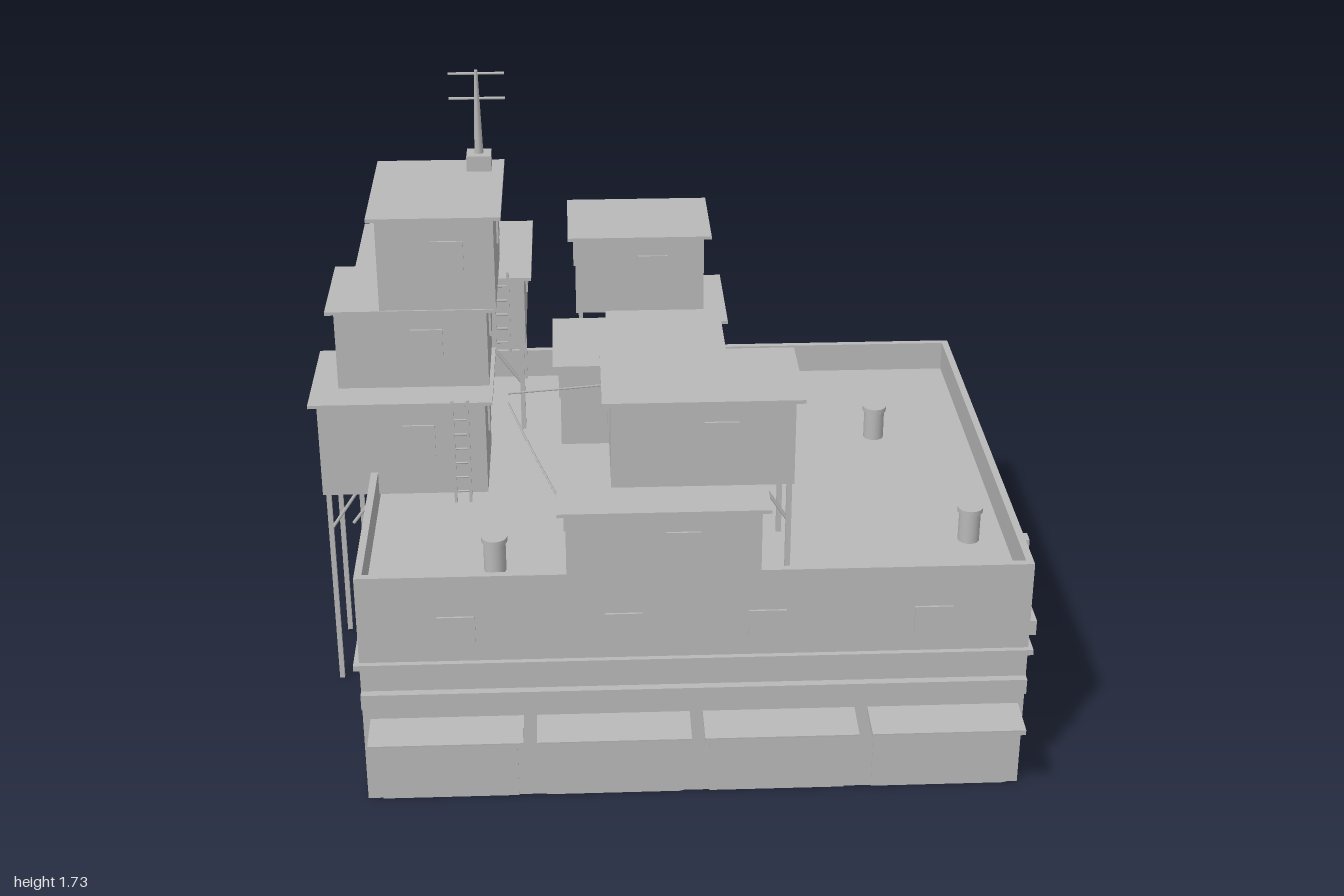
import * as THREE from 'three';

export function createModel() {
  const model = new THREE.Group();
  const grey = new THREE.MeshStandardMaterial({ color: 0xb8b8b8 });
  grey.name = 'concrete grey';

  const add = (geo, name, parent = model) => {
    const m = new THREE.Mesh(geo, grey);
    m.name = name;
    parent.add(m);
    return m;
  };
  // Box given by its limits on each axis
  const box = (name, x0, x1, y0, y1, z0, z1, parent) => {
    const m = add(new THREE.BoxGeometry(x1 - x0, y1 - y0, z1 - z0), name, parent);
    m.position.set((x0 + x1) / 2, (y0 + y1) / 2, (z0 + z1) / 2);
    return m;
  };
  // Straight rod between two points
  const rod = (name, a, b, r, parent, sides = 6, rEnd = r) => {
    const p = new THREE.Vector3(...a), q = new THREE.Vector3(...b);
    const m = add(new THREE.CylinderGeometry(rEnd, r, p.distanceTo(q), sides), name, parent);
    m.position.copy(p).add(q).multiplyScalar(0.5);
    m.quaternion.setFromUnitVectors(new THREE.Vector3(0, 1, 0), q.sub(p).normalize());
    return m;
  };

  // Main block with sunken roof deck and parapet
  const X0 = -0.84, X1 = 0.94, Z0 = -0.71, Z1 = 0.72, T = 0.02;
  box('mainBlock', X0, X1, 0, 0.6, Z0, Z1);
  box('parapetFront', X0, X1, 0.6, 0.69, Z1 - T, Z1);
  box('parapetBack', X0, X1, 0.6, 0.69, Z0, Z0 + T);
  box('parapetLeft', X1 - T, X1, 0.6, 0.69, Z0 + T, Z1 - T);
  box('parapetRight', X0, X0 + T, 0.6, 0.69, Z0 + T, Z1 - T);

  // Ledge all round, and lower bands on the front and back
  box('ledge', X0 - 0.015, X1 + 0.012, 0.418, 0.434, Z0 - 0.015, Z1 + 0.015);
  box('bandFront', X0, X1, 0.3, 0.345, Z1, Z1 + 0.022);
  box('bandBack', X0, X1, 0.3, 0.345, Z0 - 0.028, Z0);

  // Sloping awnings over the shop fronts, with shutters and dividers
  for (let i = 0; i < 4; i++) {
    const x = -0.82 + i * 0.445;
    const awning = box('awning', x, x + 0.41, 0.242, 0.254, 0.72, 0.84);
    awning.rotation.x = 0.06;
    box('awningLip', x, x + 0.41, 0.235, 0.248, 0.833, 0.84);
    box('shutter', x + 0.02, x + 0.39, 0, 0.21, Z1, Z1 + 0.004);
  }

  // Upper windows of the main block
  for (const x of [-0.58, -0.14, 0.24, 0.68]) {
    box('windowFront', x - 0.05, x + 0.05, 0.49, 0.57, Z1, Z1 + 0.006);
    box('windowBack', x - 0.05, x + 0.05, 0.49, 0.57, Z0 - 0.006, Z0);
  }
  for (const z of [0.52, 0.18, -0.17, -0.51]) {
    box('windowLeft', X1, X1 + 0.008, 0.47, 0.57, z - 0.045, z + 0.045);
    box('windowRight', X0 - 0.008, X0, 0.47, 0.57, z - 0.045, z + 0.045);
  }

  // Back doors with lamps, side duct with meter box, wall unit
  for (const x of [0.58, -0.33]) {
    box('backDoor', x - 0.065, x + 0.065, 0, 0.23, Z0 - 0.007, Z0);
    box('doorLamp', x - 0.022, x + 0.022, 0.245, 0.26, Z0 - 0.035, Z0);
  }
  box('sideDuct', X1, 0.98, 0, 0.62, 0.43, 0.47);
  box('meterBox', 0.95, 1.0, 0.365, 0.41, 0.465, 0.55);
  box('wallUnit', -0.37, -0.29, 0.365, 0.415, -0.762, Z0);

  // Roof vents
  for (const [x, z] of [[0.64, -0.22], [-0.01, 0.16], [0.82, 0.42], [-0.48, 0.53]]) {
    rod('roofVent', [x, 0.6, z], [x, 0.69, z], 0.03, model, 16);
    rod('ventCap', [x, 0.688, z], [x, 0.702, z], 0.035, model, 16);
  }

  // Stacked huts: a box, an overhanging slab roof and thin window plates
  const hut = (name, x0, x1, y0, y1, z0, z1) => {
    const g = new THREE.Group();
    g.name = name;
    model.add(g);
    box('walls', x0, x1, y0, y1, z0, z1, g);
    box('roofSlab', x0 - 0.022, x1 + 0.022, y1, y1 + 0.01, z0 - 0.025, z1 + 0.025, g);
    const a = y0 + (y1 - y0) * 0.42, b = y0 + (y1 - y0) * 0.76, d = 0.006;
    const xm = x0 + (x1 - x0) * 0.6, zm = z0 + (z1 - z0) * 0.4;
    box('frontWindow', xm - 0.045, xm + 0.045, a, b, z1, z1 + d, g);
    box('backWindow', xm - 0.045, xm + 0.045, a, b, z0 - d, z0, g);
    box('leftWindow', x1, x1 + d, a, b, zm - 0.04, zm + 0.04, g);
    box('rightWindow', x0 - d, x0, a, b, zm - 0.04, zm + 0.04, g);
  };
  hut('towerLower', -0.98, -0.51, 0.62, 0.905, -0.195, 0.125);
  hut('towerMiddle', -0.925, -0.5, 0.91, 1.15, -0.245, 0.04);
  hut('towerTop', -0.795, -0.472, 1.155, 1.43, -0.362, 0.06);
  hut('backCornerHut', -0.88, -0.402, 0.87, 1.1, -0.72, -0.305);
  hut('backHutLower', -0.138, 0.19, 0.62, 0.88, -0.785, -0.465);
  hut('backHutUpper', -0.25, 0.143, 0.885, 1.13, -0.82, -0.535);
  hut('middleHut', -0.3, 0.168, 0.6, 0.89, -0.435, -0.135);
  hut('frontHutLower', -0.288, 0.22, 0.62, 0.875, 0.38, 0.727);
  hut('frontHutUpper', -0.167, 0.312, 0.885, 1.13, 0.335, 0.612);

  // Stilts: x, z, bottom, top
  for (const [x, z, y0, y1] of [
    [-0.965, 0.11, 0, 0.62], [-0.965, -0.16, 0, 0.62], [-0.91, -0.23, 0, 0.91],
    [-0.87, -0.32, 0, 0.87], [-0.87, -0.7, 0, 0.87], [-0.415, -0.32, 0.6, 0.87],
    [-0.415, -0.68, 0.6, 0.87], [0.18, -0.77, 0, 0.62], [-0.13, -0.77, 0, 0.62],
    [-0.235, -0.805, 0, 0.885], [0.3, 0.35, 0.6, 0.885], [0.3, 0.6, 0.6, 0.885],
    [-0.485, -0.345, 1.1, 1.16],
  ]) box('stilt', x - 0.007, x + 0.007, y0, y1, z - 0.007, z + 0.007);

  // Diagonal braces
  for (const [a, b] of [
    [[-0.965, 0.5, 0.11], [-0.885, 0.62, 0.11]], [[-0.965, 0.5, -0.16], [-0.885, 0.62, -0.16]],
    [[-0.84, 0.5, 0.11], [-0.9, 0.42, 0.11]].map(([x, y, z]) => [x, y + 0.1, z]),
    [[-0.5, 0.87, -0.32], [-0.415, 0.75, -0.32]], [[-0.5, 0.87, -0.68], [-0.415, 0.75, -0.68]],
    [[0.225, 0.885, 0.35], [0.3, 0.77, 0.35]], [[0.225, 0.885, 0.6], [0.3, 0.77, 0.6]],
    [[-0.87, 0.75, -0.32], [-0.79, 0.87, -0.32]], [[-0.87, 0.75, -0.7], [-0.79, 0.87, -0.7]],
    [[-0.235, 0.77, -0.805], [-0.16, 0.885, -0.805]], [[0.18, 0.51, -0.77], [0.18, 0.6, -0.71]],
    [[-0.13, 0.51, -0.77], [-0.13, 0.6, -0.71]], [[-0.8, 1.04, -0.24], [-0.76, 1.1, -0.35]],
  ]) rod('brace', a, b, 0.005);

  // Ladders facing the front
  for (const [x, z, y0, y1] of [
    [-0.58, 0.145, 0.6, 0.92], [-0.47, -0.28, 0.87, 1.13],
    [0.08, -0.11, 0.6, 0.91], [0.1, -0.45, 0.6, 0.9],
  ]) {
    const g = new THREE.Group();
    g.name = 'ladder';
    model.add(g);
    for (const s of [-0.021, 0.021]) box('rail', x + s - 0.004, x + s + 0.004, y0, y1, z - 0.004, z + 0.004, g);
    for (let y = y0 + 0.035; y < y1; y += 0.045) rod('rung', [x - 0.021, y, z], [x + 0.021, y, z], 0.003, g);
  }

  // Slack cables strung between the huts
  for (const [a, b] of [
    [[-0.45, 0.87, 0], [0.12, 0.87, -0.12]],
    [[-0.45, 0.84, 0], [-0.3, 0.86, 0.64]],
    [[-0.04, 0.84, -0.12], [0.1, 0.855, 0.38]],
  ]) {
    const p = new THREE.Vector3(...a), q = new THREE.Vector3(...b);
    const mid = p.clone().lerp(q, 0.5);
    mid.y -= 0.006;
    add(new THREE.TubeGeometry(new THREE.CatmullRomCurve3([p, mid, q]), 10, 0.003, 5), 'cable');
  }

  // Rooftop aerial
  box('aerialBase', -0.555, -0.485, 1.44, 1.485, -0.355, -0.285);
  rod('aerialMast', [-0.52, 1.485, -0.32], [-0.52, 1.73, -0.32], 0.013, model, 8, 0.005);
  for (const y of [1.72, 1.647]) rod('aerialBar', [-0.6, y, -0.32], [-0.44, y, -0.32], 0.004);

  return model;
}
